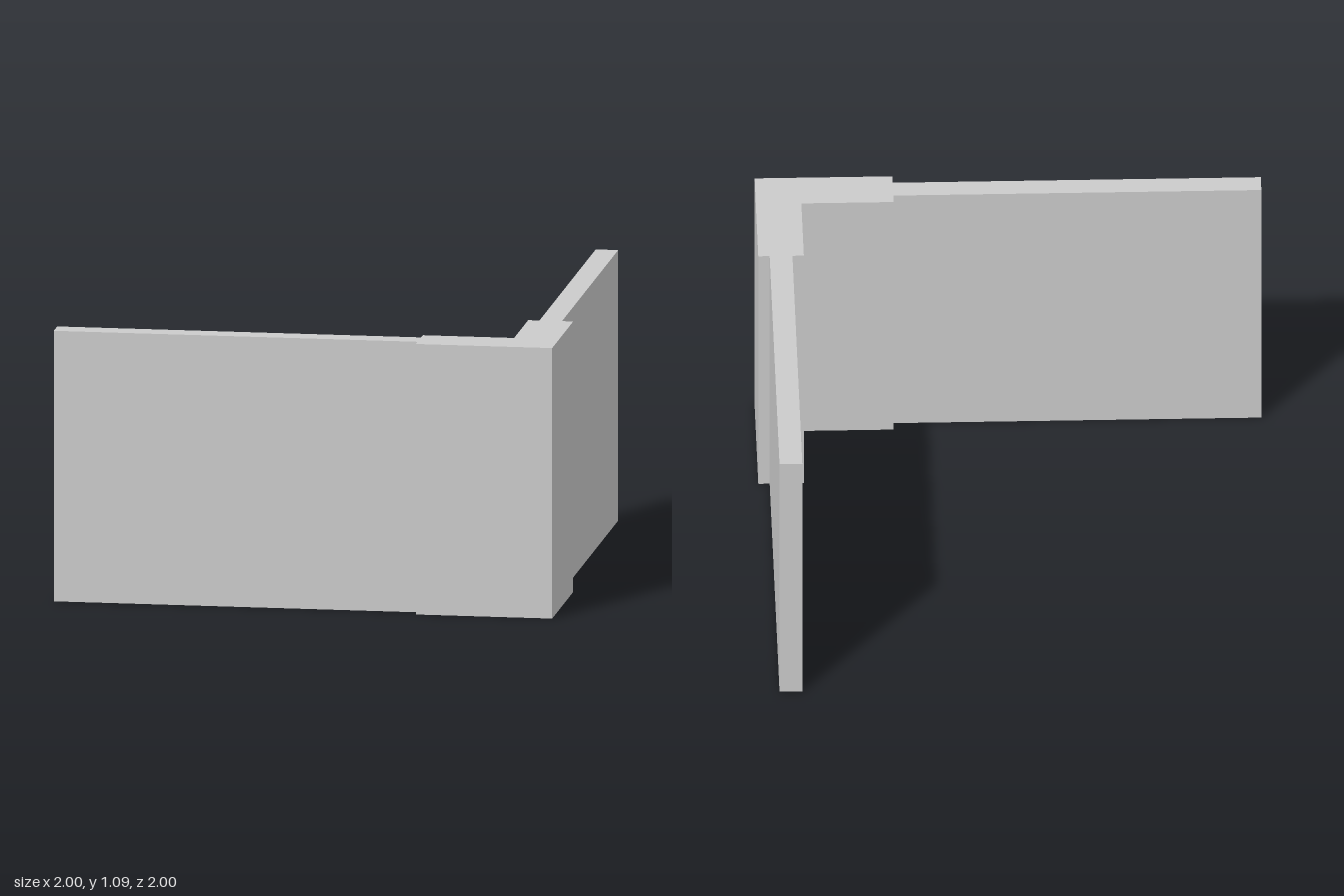
import * as THREE from 'three';

const HEIGHT = 1.09;
const POST_START = 0.455; // where the thick corner begins on both arms
const POST_INNER = 0.82; // inner face of the thick corner
const WALL_INNER = 0.865;
const WALL_OUTER = 0.955;

// Extrudes a plan outline of [x, z] points upward from the ground
function extrudePlan(name, points, material) {
  const shape = new THREE.Shape(points.map(([x, z]) => new THREE.Vector2(x, -z)));
  const geometry = new THREE.ExtrudeGeometry(shape, { depth: HEIGHT, bevelEnabled: false });
  geometry.rotateX(-Math.PI / 2);
  const mesh = new THREE.Mesh(geometry, material);
  mesh.name = name;
  return mesh;
}

export function createModel() {
  const group = new THREE.Group();
  group.name = 'cornerWall';
  const material = new THREE.MeshStandardMaterial({ color: 0xcccccc, flatShading: true });

  // Thick L-shaped corner
  group.add(extrudePlan('cornerPost', [
    [POST_START, 1], [1, 1], [1, POST_START],
    [POST_INNER, POST_START], [POST_INNER, POST_INNER], [POST_START, POST_INNER],
  ], material));

  // Thin walls; the side wall is the front wall's plan with x and z swapped
  const wallPlan = [
    [-1, WALL_OUTER], [POST_START, WALL_OUTER], [POST_START, WALL_INNER], [-1, WALL_INNER],
  ];
  group.add(extrudePlan('frontWall', wallPlan, material));
  group.add(extrudePlan('sideWall', wallPlan.map(([x, z]) => [z, x]), material));

  return group;
}
